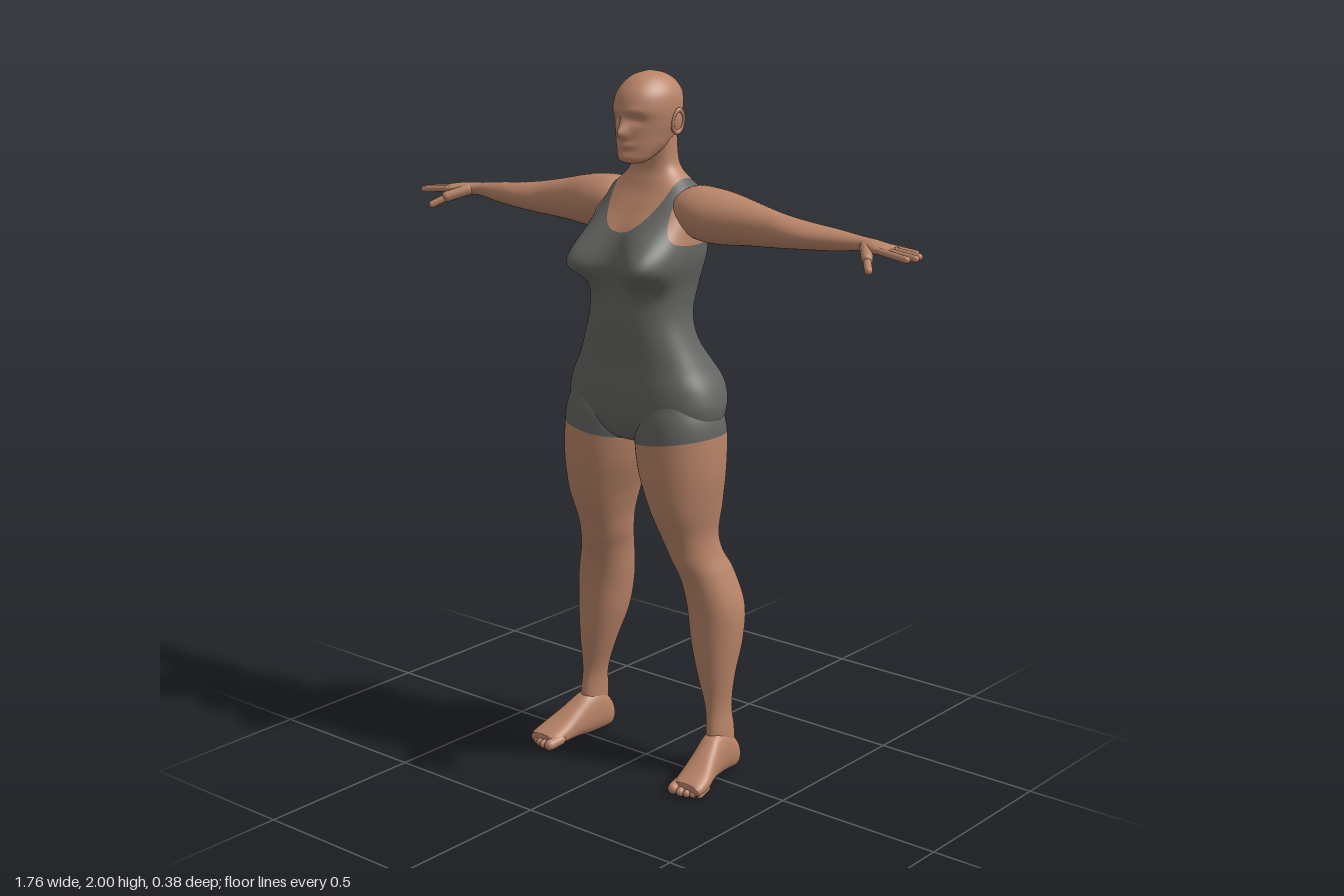
import * as THREE from 'three';

const skin = new THREE.MeshStandardMaterial({ color: 0xb98468 });
skin.name = 'skin';
const suit = new THREE.MeshStandardMaterial({ color: 0x646462 });
suit.name = 'suitGrey';

const hermite = (a, b, c, d, u) =>
  b + 0.5 * u * (c - a + u * (2 * a - 5 * b + 4 * c - d + u * (3 * (b - c) + d - a)));
const gauss = (d, s) => Math.exp(-(d * d) / (2 * s * s));
const smooth = THREE.MathUtils.smoothstep;

// Smooth closed loft. Rows are [t, a0, a1, b0, b1]: position along the axis and two extents.
// Axis x uses a = z, b = y; axis y uses a = x, b = z; axis z uses a = y, b = x.
function loft(axis, rows, { n = 40, steps = 5, power = 1, deform } = {}) {
  const pos = [], index = [], rings = [];
  const row = i => rows[Math.min(Math.max(i, 0), rows.length - 1)];
  for (let i = 0; i < rows.length - 1; i++) {
    for (let k = 0; k < steps; k++) {
      rings.push(row(i).map((_, c) => hermite(row(i - 1)[c], row(i)[c], row(i + 1)[c], row(i + 2)[c], k / steps)));
    }
  }
  rings.push(row(rows.length - 1));
  const point = ([t], a, b) => axis === 'x' ? [t, b, a] : axis === 'y' ? [a, t, b] : [b, a, t];
  const bend = v => Math.sign(v) * Math.abs(v) ** power;
  for (const r of rings) {
    const ca = (r[1] + r[2]) / 2, ra = (r[2] - r[1]) / 2, cb = (r[3] + r[4]) / 2, rb = (r[4] - r[3]) / 2;
    for (let j = 0; j < n; j++) {
      const th = (j / n) * Math.PI * 2, s = Math.sin(th);
      const v = new THREE.Vector3(...point(r, ca + ra * bend(Math.cos(th)), cb + rb * bend(s)));
      if (deform) deform(v, s);
      pos.push(v.x, v.y, v.z);
    }
  }
  for (let i = 0; i < rings.length - 1; i++) {
    for (let j = 0; j < n; j++) {
      const p = i * n + j, q = i * n + (j + 1) % n;
      index.push(p, p + n, q, q, p + n, q + n);
    }
  }
  // end caps
  const last = (rings.length - 1) * n;
  [rings[0], rings[rings.length - 1]].forEach((r, e) => {
    const c = pos.length / 3;
    pos.push(...point(r, (r[1] + r[2]) / 2, (r[3] + r[4]) / 2));
    for (let j = 0; j < n; j++) {
      const k = (j + 1) % n;
      if (e) index.push(last + j, c, last + k); else index.push(c, j, k);
    }
  });
  const g = new THREE.BufferGeometry();
  g.setAttribute('position', new THREE.Float32BufferAttribute(pos, 3));
  g.setIndex(index);
  g.computeVertexNormals();
  return g;
}

// Cuts a geometry along rule(x, y, z) = 0 and keeps the side with the given sign.
function cut(geometry, rule, sign) {
  const g = geometry.toNonIndexed(), P = g.attributes.position, N = g.attributes.normal;
  const pos = [], nor = [];
  for (let i = 0; i < P.count; i += 3) {
    const poly = [], tri = [0, 1, 2].map(k => {
      const p = new THREE.Vector3().fromBufferAttribute(P, i + k);
      return { p, n: new THREE.Vector3().fromBufferAttribute(N, i + k), f: sign * rule(p.x, p.y, p.z) };
    });
    tri.forEach((a, k) => {
      const b = tri[(k + 1) % 3];
      if (a.f >= 0) poly.push(a);
      if ((a.f >= 0) !== (b.f >= 0)) {
        const u = a.f / (a.f - b.f);
        poly.push({ p: a.p.clone().lerp(b.p, u), n: a.n.clone().lerp(b.n, u).normalize() });
      }
    });
    for (let k = 1; k + 1 < poly.length; k++) {
      for (const v of [poly[0], poly[k], poly[k + 1]]) { pos.push(...v.p); nor.push(...v.n); }
    }
  }
  const out = new THREE.BufferGeometry();
  out.setAttribute('position', new THREE.Float32BufferAttribute(pos, 3));
  out.setAttribute('normal', new THREE.Float32BufferAttribute(nor, 3));
  return out;
}

function mirrored(geometry) {
  const g = geometry.clone().applyMatrix4(new THREE.Matrix4().makeScale(-1, 1, 1));
  const ix = g.index ? Array.from(g.index.array) : [...Array(g.attributes.position.count).keys()];
  for (let i = 0; i < ix.length; i += 3) [ix[i], ix[i + 1]] = [ix[i + 1], ix[i]];
  g.setIndex(ix);
  return g;
}

// Rounded segment from a to b
function segment(a, b, r) {
  const A = new THREE.Vector3(...a), B = new THREE.Vector3(...b), d = B.clone().sub(A);
  const g = new THREE.CapsuleGeometry(r, d.length(), 5, 12);
  const q = new THREE.Quaternion().setFromUnitVectors(new THREE.Vector3(0, 1, 0), d.normalize());
  const mid = A.add(B).multiplyScalar(0.5);
  return g.applyQuaternion(q).translate(mid.x, mid.y, mid.z);
}

export function createModel() {
  const model = new THREE.Group();
  const add = (name, geometry, material) => {
    const m = new THREE.Mesh(geometry, material);
    m.name = name;
    model.add(m);
  };
  const pair = (name, geometry, material) => {
    add('left' + name, geometry, material);
    add('right' + name, mirrored(geometry), material);
  };

  // Torso and neck: [y, half width, back z, front z]
  const torso = loft('y', [
    [0.97, 0.05, -0.06, 0.05], [0.99, 0.13, -0.11, 0.10], [1.03, 0.225, -0.13, 0.125],
    [1.08, 0.25, -0.138, 0.135], [1.14, 0.238, -0.14, 0.137], [1.2, 0.205, -0.122, 0.135],
    [1.27, 0.172, -0.095, 0.137], [1.34, 0.152, -0.095, 0.138], [1.42, 0.155, -0.118, 0.13],
    [1.5, 0.17, -0.138, 0.12], [1.57, 0.168, -0.147, 0.105], [1.63, 0.165, -0.145, 0.07],
    [1.675, 0.14, -0.13, 0.04], [1.705, 0.105, -0.112, 0.025], [1.73, 0.08, -0.098, 0.015],
    [1.76, 0.068, -0.09, 0.012], [1.82, 0.065, -0.085, 0.012],
  ].map(([y, w, b, f]) => [y, -w, w, b, f]), {
    n: 80, steps: 6, power: 0.87,
    deform: (v, s) => {
      const ax = Math.abs(v.x), side = Math.sign(v.x);
      const bust = gauss(ax - 0.095, 0.055) * gauss(v.y - 1.485, v.y > 1.485 ? 0.06 : 0.036) * smooth(s, 0, 0.6);
      const glute = gauss(ax - 0.1, 0.075) * gauss(v.y - 1.115, v.y > 1.115 ? 0.065 : 0.055) * smooth(-s, 0, 0.6);
      const spine = gauss(v.x, 0.02) * gauss(v.y - 1.42, 0.13) * smooth(-s, 0, 0.6);
      v.z += 0.088 * bust - 0.05 * glute + 0.012 * spine;
      v.x += side * 0.025 * bust;
    },
  });
  const neckline = (x, y, z) => {
    const depth = 0.06 + 0.09 * smooth(z, -0.07, 0.0);
    const neck = Math.hypot(x / 0.1, Math.min(y - 1.72, 0) / depth) - 1;
    const armhole = Math.hypot((Math.abs(x) - 0.22) / 0.097, (y - 1.66) / 0.14) - 1;
    return Math.min(neck, armhole);
  };
  add('bodysuit', cut(torso, neckline, 1), suit);
  add('chestAndNeck', cut(torso, neckline, -1), skin);

  // Head with a modelled face: [y, half width, back z, front z]
  add('head', loft('y', [
    [1.757, 0.03, 0.03, 0.08], [1.768, 0.045, 0.0, 0.092], [1.8, 0.063, -0.06, 0.096],
    [1.83, 0.072, -0.088, 0.096], [1.86, 0.08, -0.106, 0.096], [1.9, 0.085, -0.118, 0.101],
    [1.94, 0.08, -0.117, 0.091], [1.97, 0.062, -0.097, 0.066], [1.99, 0.037, -0.064, 0.034],
    [2.0, 0.004, -0.02, -0.01],
  ].map(([y, w, b, f]) => [y, -w, w, b, f]), {
    n: 96, steps: 8,
    deform: (v, s) => {
      const ax = Math.abs(v.x);
      const bump = (x, y, sx, sy, amount) => amount * gauss(ax - x, sx) * gauss(v.y - y, sy);
      v.z += smooth(s, 0, 0.6) * (bump(0, 1.838, 0.011, 0.011, 0.016) + bump(0, 1.858, 0.009, 0.02, 0.015)
        + bump(0.032, 1.876, 0.016, 0.01, -0.012) + bump(0.03, 1.9, 0.02, 0.008, 0.004)
        + bump(0, 1.806, 0.02, 0.007, 0.007) + bump(0, 1.772, 0.02, 0.012, 0.01));
    },
  }), skin);

  // Ears
  const ear = new THREE.SphereGeometry(1, 16, 12).scale(0.008, 0.034, 0.02);
  const rim = new THREE.TorusGeometry(0.021, 0.005, 8, 20).scale(0.85, 1.45, 1).rotateY(Math.PI / 2);
  pair('Ear', ear.rotateX(-0.15).rotateY(-0.25).translate(0.082, 1.865, -0.03), skin);
  pair('EarRim', rim.rotateX(-0.15).rotateY(-0.25).translate(0.087, 1.866, -0.031), skin);

  // Arms and palms: [x, z range, y range]
  pair('Arm', loft('x', [
    [0.09, -0.10, 0.02, 1.6, 1.67], [0.14, -0.125, 0.042, 1.56, 1.695], [0.2, -0.13, 0.048, 1.545, 1.695],
    [0.26, -0.125, 0.035, 1.545, 1.686], [0.32, -0.115, 0.02, 1.55, 1.672], [0.4, -0.1, 0.01, 1.555, 1.655],
    [0.46, -0.096, 0.015, 1.56, 1.645], [0.52, -0.095, 0.012, 1.565, 1.637], [0.6, -0.088, -0.01, 1.57, 1.628],
    [0.68, -0.078, -0.027, 1.58, 1.618], [0.72, -0.078, -0.01, 1.58, 1.616], [0.77, -0.074, 0.008, 1.582, 1.61],
    [0.795, -0.064, 0.0, 1.586, 1.604],
  ]), skin);

  // Fingers: knuckle z, tip x and tip z
  [[-0.001, 0.86, 0.008, 'Index'], [-0.021, 0.87, -0.018, 'Middle'],
    [-0.041, 0.862, -0.046, 'Ring'], [-0.061, 0.832, -0.077, 'Little']].forEach(([z, x, tz, name]) => {
    pair(name + 'Finger', segment([0.77, 1.597, z], [x, 1.587, tz], 0.0095), skin);
  });
  pair('ThumbBase', segment([0.71, 1.596, -0.028], [0.75, 1.578, 0.022], 0.016), skin);
  pair('Thumb', segment([0.745, 1.58, 0.018], [0.778, 1.556, 0.056], 0.011), skin);

  // Legs: [y, x range, z range], cut at the hem of the shorts
  const leg = loft('y', [
    [0.03, 0.21, 0.27, -0.095, 0.0], [0.12, 0.21, 0.27, -0.098, 0.008], [0.2, 0.203, 0.265, -0.09, 0.002],
    [0.3, 0.17, 0.276, -0.102, 0.01], [0.4, 0.14, 0.286, -0.135, 0.015], [0.5, 0.125, 0.285, -0.147, 0.02],
    [0.6, 0.112, 0.256, -0.13, 0.038], [0.66, 0.096, 0.234, -0.108, 0.06], [0.72, 0.083, 0.227, -0.102, 0.09],
    [0.8, 0.058, 0.24, -0.114, 0.122], [0.9, 0.022, 0.254, -0.122, 0.136], [1.0, 0.004, 0.255, -0.128, 0.136],
    [1.06, 0.006, 0.246, -0.12, 0.13], [1.12, 0.04, 0.22, -0.1, 0.11],
  ], {
    n: 56, steps: 6, power: 0.95,
    deform: (v, s) => {
      // kneecap in front, hollow behind the knee
      v.z += 0.012 * gauss(v.x - 0.165, 0.035) * gauss(v.y - 0.64, 0.035) * smooth(s, 0, 0.6);
      v.z += 0.008 * gauss(v.x - 0.17, 0.03) * gauss(v.y - 0.66, 0.05) * smooth(-s, 0, 0.6);
    },
  });
  const hem = (x, y) => y - 0.975 - 0.15 * Math.abs(x);
  pair('ShortsLeg', cut(leg, hem, 1), suit);
  pair('Leg', cut(leg, hem, -1), skin);

  // Feet: [z, y range, x range]
  pair('Foot', loft('z', [
    [-0.112, 0.02, 0.055, 0.225, 0.258], [-0.098, 0.002, 0.09, 0.207, 0.272], [-0.05, 0.0, 0.135, 0.202, 0.276],
    [0.0, 0.0, 0.13, 0.204, 0.284], [0.05, 0.002, 0.098, 0.21, 0.3], [0.1, 0.0, 0.066, 0.215, 0.318],
    [0.14, 0.0, 0.046, 0.222, 0.322], [0.155, 0.004, 0.038, 0.23, 0.316],
  ], { power: 0.85 }), skin);

  // Toes, from big to little
  [[0.236, 0.162, 0.0165], [0.261, 0.162, 0.0125], [0.28, 0.157, 0.0115], [0.297, 0.149, 0.011], [0.312, 0.139, 0.0105]]
    .forEach(([x, z, r], i) => {
      pair('Toe' + (i + 1), segment([x - 0.006, r + 0.006, z - 0.04], [x, r, z], r), skin);
    });
  return model;
}
